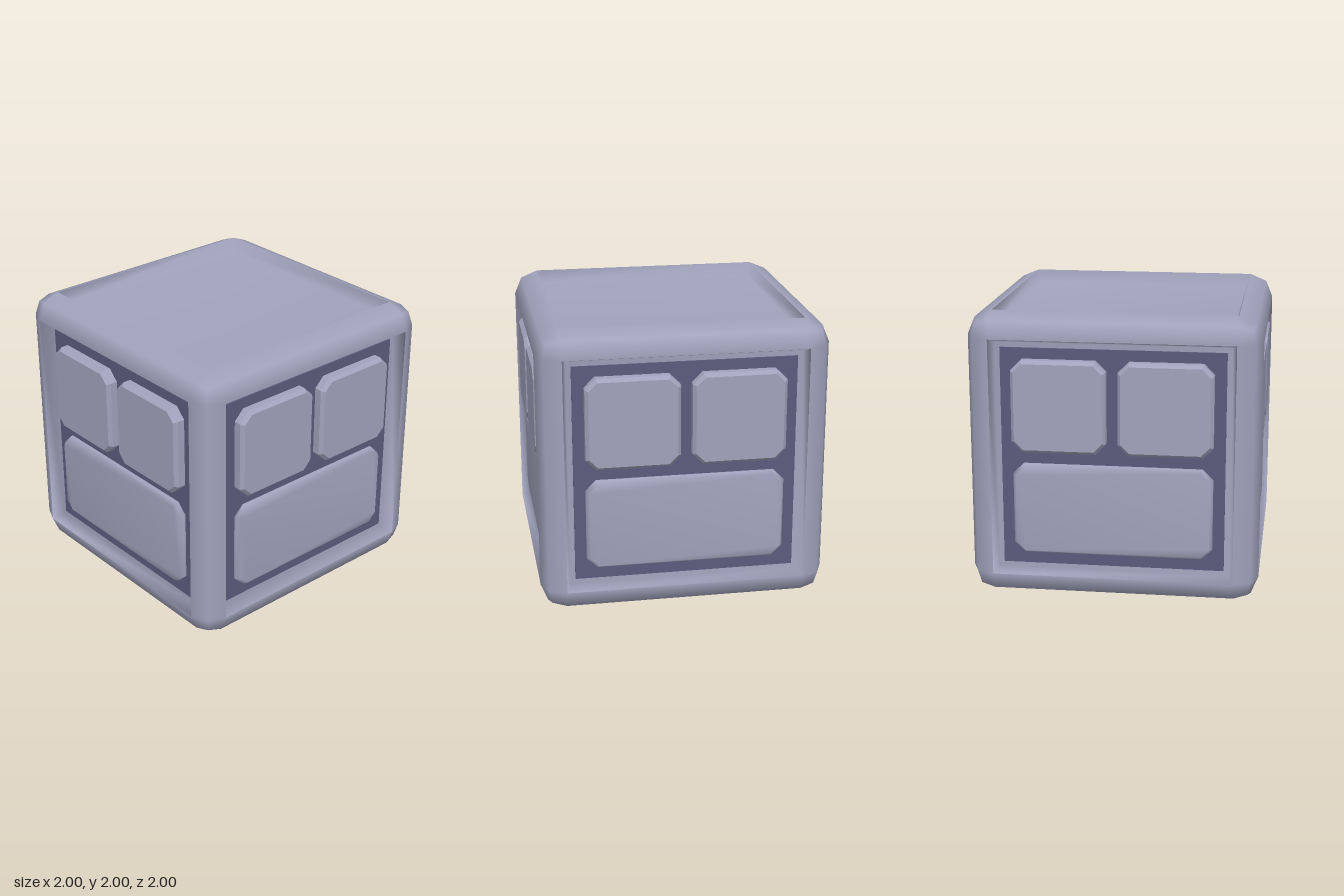
import * as THREE from 'three';
import { RoundedBoxGeometry } from 'three/addons/geometries/RoundedBoxGeometry.js';
import { mergeVertices } from 'three/addons/utils/BufferGeometryUtils.js';

const OPEN = 0.83;   // half width of each recess opening
const FLOOR = 0.80;  // half width of each recess floor
const DEPTH = 0.09;  // recess depth

const grey = new THREE.MeshStandardMaterial({ color: 0xa0a3bc });
grey.name = 'blueGrey';
const dark = new THREE.MeshStandardMaterial({ color: 0x5a5c7c });
dark.name = 'darkSlate';

// Rounded cube shell with its six flat faces left open
function frameGeometry() {
  const src = new RoundedBoxGeometry(2, 2, 2, 1, 1 - OPEN).toNonIndexed();
  const p = src.attributes.position, n = src.attributes.normal;
  const pos = [], nor = [];
  for (let i = 0; i < p.count; i += 3) {
    const flat = [0, 1, 2].some((axis) => [0, 1, 2].every(
      (k) => Math.abs(p.getComponent(i + k, axis)) > 0.999));
    if (flat) continue;
    for (let k = i; k < i + 3; k++) {
      pos.push(p.getX(k), p.getY(k), p.getZ(k));
      nor.push(n.getX(k), n.getY(k), n.getZ(k));
    }
  }
  const g = new THREE.BufferGeometry();
  g.setAttribute('position', new THREE.Float32BufferAttribute(pos, 3));
  g.setAttribute('normal', new THREE.Float32BufferAttribute(nor, 3));
  return g;
}

// Shallow tray: sloping walls down to a flat floor, facing +z
function recessGeometry() {
  const pos = [], index = [];
  for (const [r, z] of [[OPEN, 1], [FLOOR, 1 - DEPTH]]) {
    pos.push(-r, -r, z, r, -r, z, r, r, z, -r, r, z);
  }
  for (let i = 0; i < 4; i++) {
    const j = (i + 1) % 4;
    index.push(i, j, j + 4, i, j + 4, i + 4);
  }
  index.push(4, 5, 6, 4, 6, 7);
  const g = new THREE.BufferGeometry();
  g.setAttribute('position', new THREE.Float32BufferAttribute(pos, 3));
  g.setIndex(index);
  g.computeVertexNormals();
  return g;
}

// Raised block with cut corners and a bevelled front edge
function blockGeometry(w, h, front, bevel, bevelDepth, smooth) {
  const x = w / 2 - bevel, y = h / 2 - bevel, c = 0.06;
  const shape = new THREE.Shape([
    [-x + c, -y], [x - c, -y], [x, -y + c], [x, y - c],
    [x - c, y], [-x + c, y], [-x, y - c], [-x, -y + c],
  ].map(([a, b]) => new THREE.Vector2(a, b)));
  const base = 1 - DEPTH - bevelDepth;
  let g = new THREE.ExtrudeGeometry(shape, {
    depth: front - base - 2 * bevelDepth, bevelEnabled: true,
    bevelThickness: bevelDepth, bevelSize: bevel, bevelSegments: 1,
  });
  g.translate(0, 0, base + bevelDepth);
  if (smooth) {
    g.deleteAttribute('normal');
    g.deleteAttribute('uv');
    g = mergeVertices(g, 1e-4);
    g.computeVertexNormals();
  }
  return g;
}

export function createModel() {
  const model = new THREE.Group();
  model.name = 'panelledCube';
  const add = (parent, name, geometry, material, x = 0, y = 0, z = 0) => {
    const mesh = new THREE.Mesh(geometry, material);
    mesh.name = name;
    mesh.position.set(x, y, z);
    parent.add(mesh);
  };

  add(model, 'roundedFrame', frameGeometry(), grey, 0, 1, 0);

  const recess = recessGeometry();
  const plate = new THREE.BoxGeometry(1.53, 1.53, 0.008);
  const small = blockGeometry(0.645, 0.64, 0.995, 0.022, 0.025, false);
  const wide = blockGeometry(1.37, 0.64, 0.965, 0.022, 0.03, true);

  // Four identical sides: recess, dark backing, two square blocks, one wide block
  ['front', 'left', 'back', 'right'].forEach((name, i) => {
    const side = new THREE.Group();
    side.name = name + 'Side';
    side.position.y = 1;
    side.rotation.y = i * Math.PI / 2;
    add(side, 'recess', recess, grey);
    add(side, 'backingPlate', plate, dark, 0, 0, 1 - DEPTH + 0.004);
    for (const s of [-1, 1]) add(side, 'squareBlock', small, grey, s * 0.3625, 0.37, 0);
    add(side, 'wideBlock', wide, grey, 0, -0.36, 0);
    model.add(side);
  });

  // Plain recessed top and bottom
  for (const [name, s] of [['topRecess', -1], ['bottomRecess', 1]]) {
    const face = new THREE.Group();
    face.name = name;
    face.position.y = 1;
    face.rotation.x = s * Math.PI / 2;
    add(face, 'recess', recess, grey);
    model.add(face);
  }
  return model;
}
